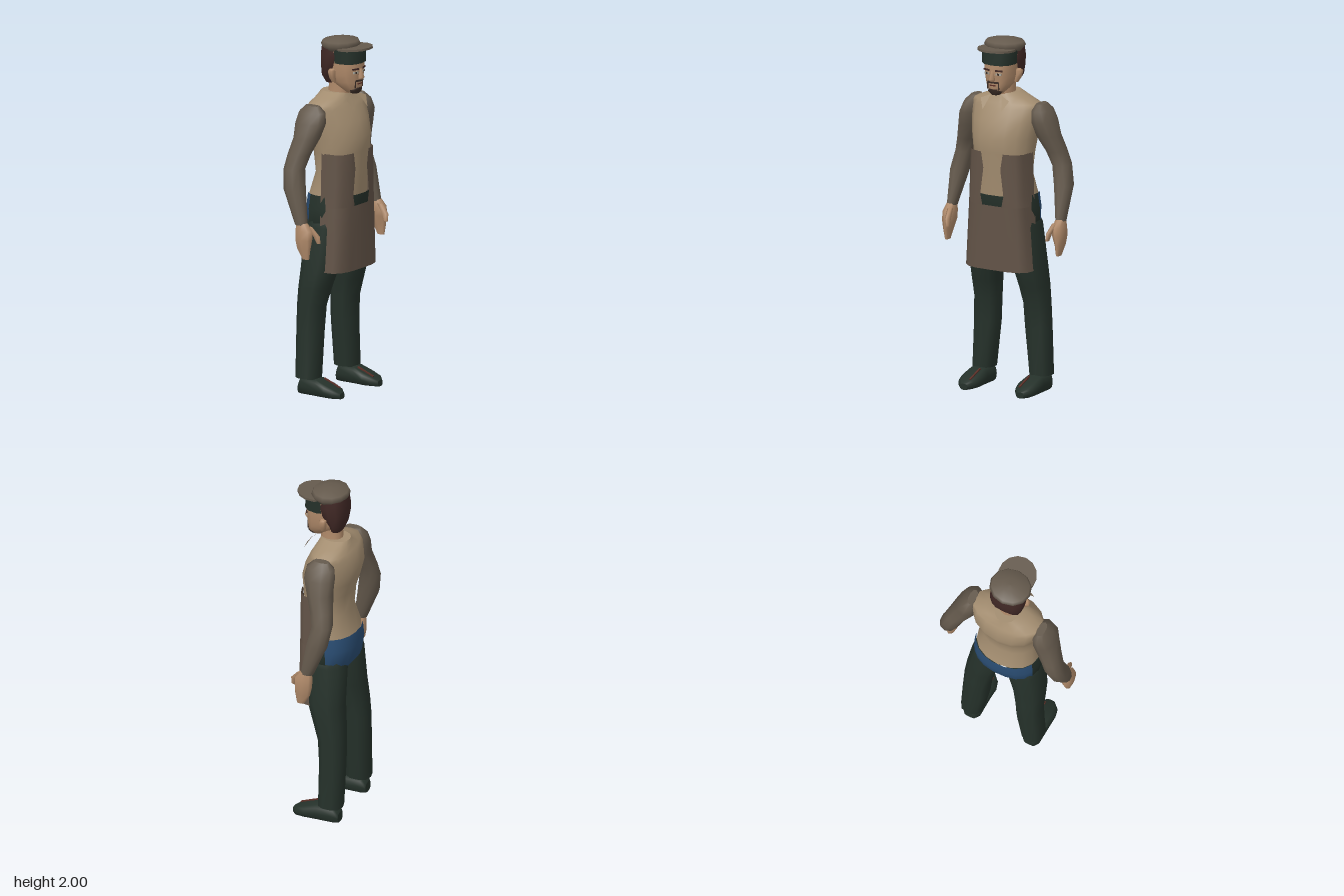
import * as THREE from 'three';

const paint = (name, color, side = THREE.FrontSide) => {
  const m = new THREE.MeshStandardMaterial({ color, side });
  m.name = name;
  return m;
};

// Lofted body through horizontal sections [y, x0, x1, zBack, zFront], listed bottom to top.
// power < 1 makes the sections boxier; from/to limit the arc (degrees, 0 = front, 90 = +x).
function loft(sections, { n = 12, power = 0.9, from = 0, to = 360 } = {}) {
  const pos = [], idx = [];
  const full = to - from === 360, cols = full ? n : n + 1;
  const bend = v => Math.sign(v) * Math.abs(v) ** power;
  const addRing = ([y, x0, x1, z0, z1]) => {
    for (let j = 0; j < cols; j++) {
      const a = THREE.MathUtils.degToRad(from + (to - from) * j / n);
      pos.push((x0 + x1) / 2 + (x1 - x0) / 2 * bend(Math.sin(a)), y,
        (z0 + z1) / 2 + (z1 - z0) / 2 * bend(Math.cos(a)));
    }
  };
  sections.forEach(addRing);
  for (let i = 0; i < sections.length - 1; i++) {
    for (let j = 0; j < n; j++) {
      const k = (j + 1) % cols, a = i * cols, b = a + cols;
      idx.push(a + j, a + k, b + k, a + j, b + k, b + j);
    }
  }
  if (full) {
    for (const [s, top] of [[sections[0], false], [sections.at(-1), true]]) {
      const start = pos.length / 3;
      addRing(s);
      pos.push((s[1] + s[2]) / 2, s[0], (s[3] + s[4]) / 2);
      for (let j = 0; j < n; j++) {
        const p = start + j, q = start + (j + 1) % n;
        idx.push(start + n, ...(top ? [p, q] : [q, p]));
      }
    }
  }
  return surface(pos, idx);
}

function surface(pos, idx) {
  const g = new THREE.BufferGeometry();
  g.setAttribute('position', new THREE.Float32BufferAttribute(pos, 3));
  g.setIndex(idx);
  g.computeVertexNormals();
  return g;
}

const mirrored = (sections, s) =>
  s > 0 ? sections : sections.map(([y, a, b, c, d]) => [y, -b, -a, c, d]);
const centred = sections => sections.map(([y, w, z0, z1]) => [y, -w, w, z0, z1]);

export function createModel() {
  const root = new THREE.Group();
  const shirt = paint('shirt tan', 0xa38d70, THREE.DoubleSide);
  const sleeve = paint('sleeve and cap brown', 0x655a4d);
  const apronCloth = paint('apron brown', 0x625347, THREE.DoubleSide);
  const trousers = paint('trouser green', 0x25312a);
  const blue = paint('seat blue', 0x2a4d73);
  const hairBrown = paint('hair brown', 0x402825);
  const skin = paint('skin', 0xb08a6a);
  const beardDark = paint('beard dark', 0x3b2d26);
  const eyeWhite = paint('eye white', 0xa5a398);
  const red = paint('shoe stripe red', 0x5a2e26);

  const add = (name, geometry, material) => {
    const m = new THREE.Mesh(geometry, material);
    m.name = name;
    root.add(m);
    return m;
  };
  const plate = (name, mat, w, h, x, y, z, turn = 0) => {
    const m = add(name, new THREE.BoxGeometry(w, h, 0.008), mat);
    m.position.set(x, y, z);
    m.rotation.y = turn;
  };

  // Torso and hips
  add('shirt', loft(centred([
    [1.12, 0.185, -0.165, 0.12], [1.25, 0.165, -0.125, 0.128], [1.37, 0.18, -0.135, 0.138],
    [1.45, 0.19, -0.16, 0.145], [1.54, 0.205, -0.18, 0.122], [1.615, 0.215, -0.16, 0.085],
    [1.64, 0.205, -0.145, 0.07], [1.67, 0.13, -0.13, 0.055], [1.695, 0.07, -0.12, 0.045]]),
  { n: 16, power: 0.95 }), shirt);
  const hips = centred([[0.9, 0.13, -0.12, 0.06], [0.95, 0.195, -0.16, 0.09],
    [1.05, 0.197, -0.177, 0.13], [1.13, 0.188, -0.17, 0.134]]);
  add('hipsSeat', loft(hips, { n: 8, from: 100, to: 245 }), blue);
  add('hipsFront', loft(hips, { n: 12, from: 245, to: 460 }), trousers);

  // Apron: each row is [y, inner edge x, half width]; it wraps round to the hips
  const rows = [[1.37, 0.07, 0.18], [1.28, 0.055, 0.183], [1.13, 0.075, 0.188],
    [1.07, 0.062, 0.191], [1.07, 0, 0.191], [0.705, 0, 0.212]];
  for (const s of [1, -1]) {
    const pos = [], idx = [];
    for (const [y, inner, w] of rows) {
      for (const [x, z] of [[inner, 0.132], [w * 0.5, 0.13], [w * 0.78, 0.113], [w * 0.94, 0.08], [w, -0.008]])
        pos.push(s * x, y, z);
    }
    for (let i = 0; i < rows.length - 1; i++) {
      for (let j = 0; j < 4; j++) {
        const a = i * 5 + j, b = a + 5;
        if (s > 0) idx.push(a, b, b + 1, a, b + 1, a + 1);
        else idx.push(a, b + 1, b, a, a + 1, b + 1);
      }
    }
    add('apronHalf', surface(pos, idx), apronCloth);
  }

  // Limbs, mirrored
  for (const s of [1, -1]) {
    const part = (name, sections, mat, opt) => add(name, loft(mirrored(sections, s), opt), mat);
    part('trouserLeg', [[0.095, 0.12, 0.25, -0.162, -0.02], [0.36, 0.09, 0.24, -0.165, -0.02],
      [0.5, 0.083, 0.235, -0.165, -0.01], [0.6, 0.07, 0.235, -0.16, 0.02],
      [0.72, 0.05, 0.23, -0.15, 0.06], [0.95, 0.004, 0.205, -0.146, 0.095],
      [1.0, 0.02, 0.188, -0.12, 0.09]], trousers, { n: 10, power: 0.8 });
    part('sleeve', [[1.0, 0.325, 0.38, -0.06, 0.015], [1.19, 0.285, 0.39, -0.14, -0.015],
      [1.3, 0.26, 0.367, -0.157, -0.037], [1.38, 0.233, 0.345, -0.147, -0.015],
      [1.47, 0.185, 0.32, -0.13, 0.02], [1.55, 0.17, 0.297, -0.135, 0.048],
      [1.61, 0.17, 0.268, -0.125, 0.038], [1.645, 0.19, 0.235, -0.09, 0]],
    sleeve, { n: 10 });
    part('hand', [[0.81, 0.35, 0.37, -0.01, 0.035], [0.87, 0.342, 0.382, -0.045, 0.045],
      [0.92, 0.325, 0.39, -0.055, 0.05], [0.97, 0.322, 0.387, -0.057, 0.05],
      [1.015, 0.33, 0.376, -0.05, 0.01]], skin, { n: 8, power: 0.8 });
    part('thumb', [[0.9, 0.312, 0.332, 0.06, 0.085], [0.94, 0.314, 0.342, 0.04, 0.085],
      [0.99, 0.325, 0.352, 0, 0.04]], skin, { n: 6 });

    // Shoe: sections run heel to toe, then the loft is laid forward
    const shoe = [[-0.145, 0.15, 0.215, -0.06, 0], [-0.12, 0.125, 0.238, -0.1, 0],
      [-0.02, 0.12, 0.245, -0.1, 0], [0.05, 0.115, 0.248, -0.075, 0],
      [0.1, 0.13, 0.238, -0.055, 0], [0.132, 0.16, 0.205, -0.035, 0]];
    add('shoe', loft(mirrored(shoe, s), { n: 12, power: 0.65 }).rotateX(Math.PI / 2), trousers);
    const stripe = add('shoeStripe', new THREE.BoxGeometry(0.01, 0.008, 0.11), red);
    stripe.position.set(s * 0.16, 0.075, 0.05);
    stripe.rotation.x = 0.37;

    // Loose collar point
    add('collarPoint', surface([s * 0.035, 1.69, 0.085, s * 0.06, 1.61, 0.132, s * 0.092, 1.667, 0.1],
      s > 0 ? [0, 1, 2] : [0, 2, 1]), shirt);

    // Ear, eye, brow and whiskers on each side of the face
    part('ear', [[1.76, 0.07, 0.092, -0.008, 0.018], [1.79, 0.07, 0.11, -0.018, 0.022],
      [1.825, 0.07, 0.118, -0.022, 0.022], [1.835, 0.07, 0.105, -0.015, 0.018]], skin, { n: 6 });
    plate('eye', eyeWhite, 0.032, 0.011, s * 0.037, 1.818, 0.121, s * 0.27);
    plate('pupil', beardDark, 0.011, 0.011, s * 0.036, 1.818, 0.1225, s * 0.27);
    plate('brow', hairBrown, 0.042, 0.009, s * 0.039, 1.838, 0.122, s * 0.27);
    plate('moustacheHalf', beardDark, 0.034, 0.01, s * 0.017, 1.769, 0.1225, s * 0.27);
    plate('whisker', beardDark, 0.007, 0.04, s * 0.034, 1.748, 0.116, s * 0.3);
  }

  // Head
  add('neck', loft(centred([[1.65, 0.06, -0.085, 0.045], [1.7, 0.052, -0.075, 0.05],
    [1.77, 0.055, -0.07, 0.05]])), skin);
  add('face', loft(centred([[1.698, 0.028, 0.035, 0.113], [1.725, 0.055, 0, 0.124],
    [1.76, 0.075, -0.06, 0.125], [1.8, 0.085, -0.085, 0.129], [1.85, 0.09, -0.09, 0.132],
    [1.95, 0.094, -0.09, 0.12]]), { power: 0.85 }), skin);
  add('nose', loft(centred([[1.776, 0.014, 0.11, 0.142], [1.79, 0.018, 0.11, 0.153],
    [1.838, 0.008, 0.11, 0.134]]), { n: 6 }), skin);
  add('chinBeard', loft(centred([[1.695, 0.025, 0.06, 0.115], [1.715, 0.044, 0.06, 0.126],
    [1.73, 0.035, 0.06, 0.13]])), beardDark);
  plate('mouth', red, 0.034, 0.006, 0, 1.752, 0.1235);
  add('hair', loft(centred([[1.745, 0.06, -0.078, -0.02], [1.79, 0.088, -0.094, -0.015],
    [1.85, 0.1, -0.106, 0.035], [1.9, 0.105, -0.106, 0.05], [1.95, 0.1, -0.1, 0.05]]),
  { power: 0.8 }), hairBrown);
  add('capBand', loft(centred([[1.868, 0.096, -0.05, 0.138], [1.945, 0.1, -0.05, 0.135]]),
    { power: 0.85 }), trousers);

  // Flat cap and visor
  const cap = add('capCrown', new THREE.LatheGeometry([[0, 1.932], [0.1, 1.935], [0.12, 1.962],
    [0.109, 1.983], [0.045, 1.998], [0, 2]].map(p => new THREE.Vector2(...p)), 12), sleeve);
  cap.scale.z = 0.89;
  cap.position.z = -0.005;
  const visor = add('capVisor', new THREE.CylinderGeometry(0.108, 0.108, 0.012, 14), sleeve);
  visor.position.set(0, 1.95, 0.08);
  visor.rotation.x = -0.06;

  return root;
}
